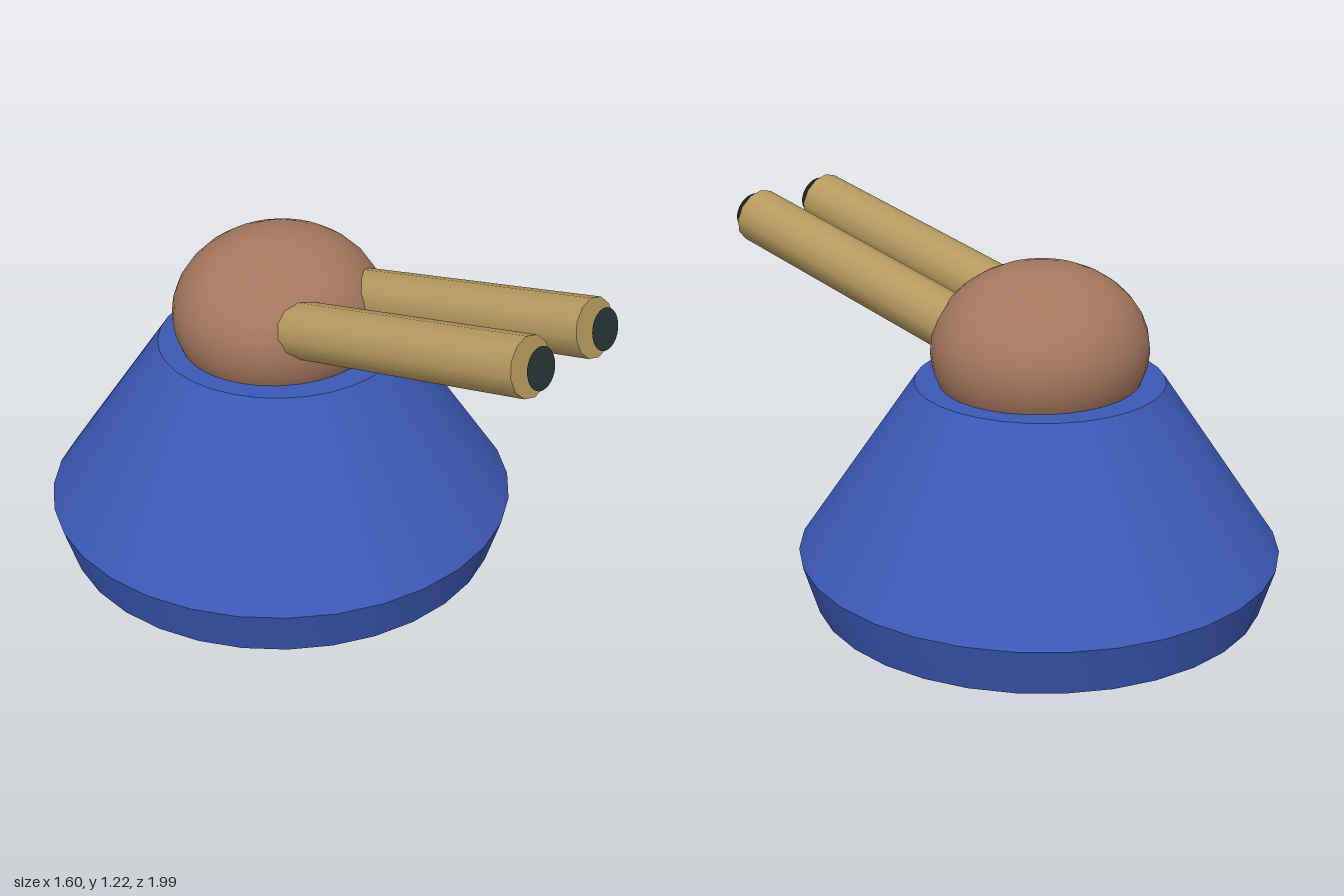
import * as THREE from 'three';
import { toCreasedNormals } from 'three/addons/utils/BufferGeometryUtils.js';

const CENTRE_Z = -0.2;

function material(name, color, side = THREE.FrontSide) {
  const m = new THREE.MeshStandardMaterial({ color, side });
  m.name = name;
  return m;
}

function mesh(name, geometry, mat) {
  const m = new THREE.Mesh(geometry, mat);
  m.name = name;
  return m;
}

export function createModel() {
  const blue = material('blue', 0x3c59b6);
  const brown = material('brown', 0xa5775f);
  const tan = material('tan', 0xb5995f);
  const dark = material('dark', 0x263333, THREE.DoubleSide);

  const model = new THREE.Group();
  model.name = 'turret';

  // Flared foot and tapering cone, with crisp rims
  const profile = [[0, 0], [0.75, 0], [0.8, 0.165], [0.41, 0.74], [0, 0.74]]
    .map(([r, y]) => new THREE.Vector2(r, y));
  const base = mesh('base', toCreasedNormals(new THREE.LatheGeometry(profile, 32), 0.5), blue);
  base.position.z = CENTRE_Z;
  model.add(base);

  // Squashed dome sunk into the base
  const dome = mesh('dome', new THREE.SphereGeometry(1, 32, 16), brown);
  dome.scale.set(0.366, 0.285, 0.349);
  dome.position.set(0, 0.845, CENTRE_Z);
  model.add(dome);

  // Twin barrels, raised toward the front; local +z runs along the bore
  const length = 1.07;
  for (const [side, x] of [['left', 0.157], ['right', -0.157]]) {
    const gun = new THREE.Group();
    gun.name = `${side}Gun`;
    gun.position.set(x, 1.13, 0.943);
    gun.rotation.x = -THREE.MathUtils.degToRad(13.3);

    const tube = new THREE.CylinderGeometry(0.094, 0.094, length, 12);
    tube.rotateX(Math.PI / 2).translate(0, 0, -length / 2);
    gun.add(mesh(`${side}Barrel`, tube, tan));

    // Dark muzzle disc just ahead of the barrel end
    const muzzle = mesh(`${side}Muzzle`, new THREE.CircleGeometry(0.065, 32), dark);
    muzzle.position.z = 0.037;
    gun.add(muzzle);
    model.add(gun);
  }
  return model;
}
